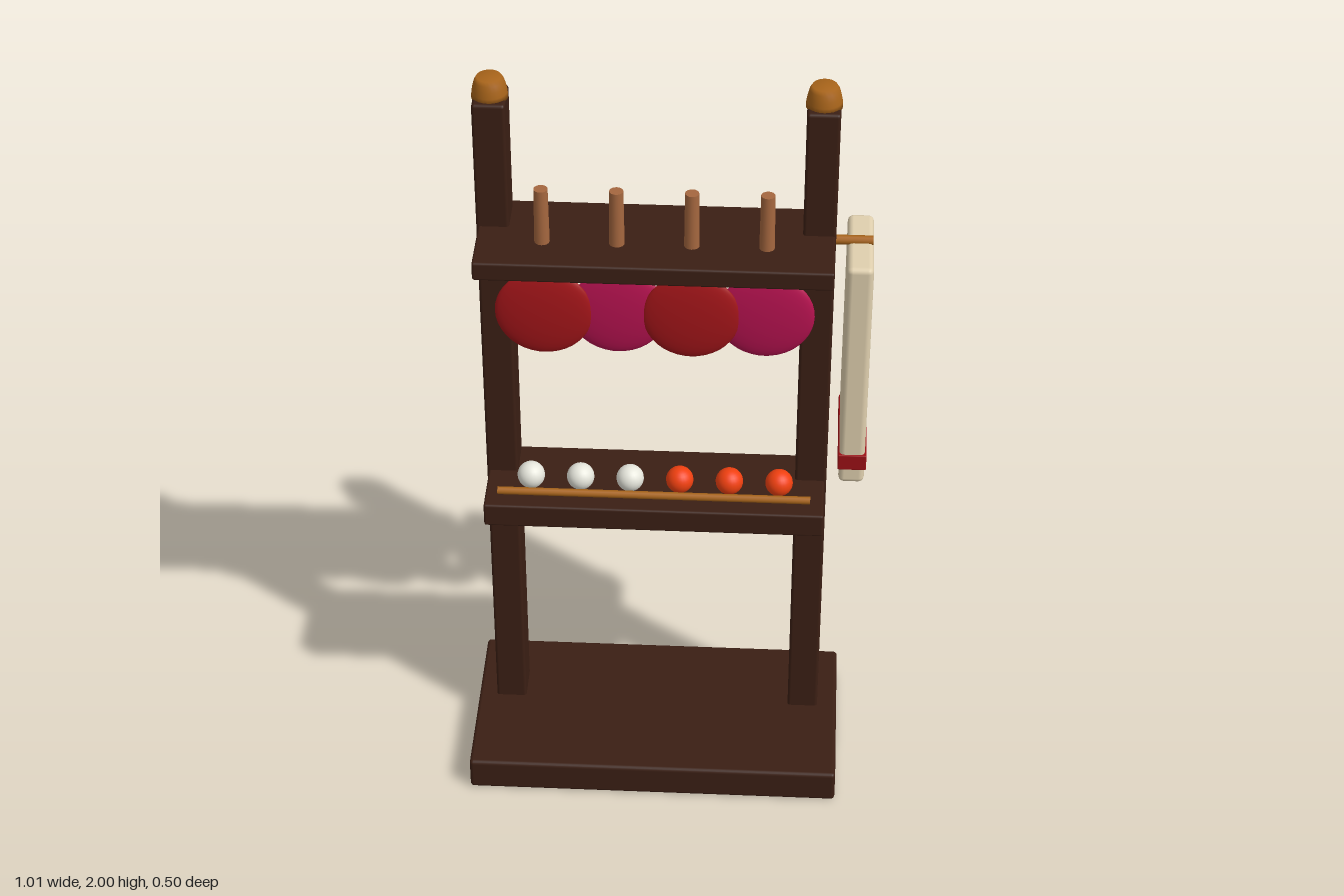
import * as THREE from 'three';
import { RoundedBoxGeometry } from 'three/addons/geometries/RoundedBoxGeometry.js';

const mat = (color) => new THREE.MeshStandardMaterial({ color });
const wood = mat(0x3b1f14), brass = mat(0xa8641a), handleWood = mat(0xa5673f);
const red = mat(0xa31519), crimson = mat(0xb5124f);
const cloth = mat(0xdfcfae), trim = mat(0x9b1015);
const white = mat(0xe6e6dc), orange = mat(0xf04010);

export function createModel() {
  const model = new THREE.Group();

  const add = (name, geometry, material, x, y, z) => {
    const mesh = new THREE.Mesh(geometry, material);
    mesh.name = name;
    mesh.position.set(x, y, z);
    model.add(mesh);
    return mesh;
  };
  // Softened box given by its extents on each axis
  const block = (name, material, [x0, x1], [y0, y1], [z0, z1], radius) =>
    add(name, new RoundedBoxGeometry(x1 - x0, y1 - y0, z1 - z0, 2, radius), material,
      (x0 + x1) / 2, (y0 + y1) / 2, (z0 + z1) / 2);
  // Horizontal rod along x
  const rod = (name, x0, x1, y, z, r) => {
    add(name, new THREE.CylinderGeometry(r, r, x1 - x0, 12), brass, (x0 + x1) / 2, y, z)
      .rotation.z = Math.PI / 2;
  };

  // Base and the two shelves
  block('base', wood, [-0.508, 0.462], [0, 0.09], [-0.25, 0.25], 0.01);
  block('lowerShelf', wood, [-0.455, 0.405], [0.8, 0.865], [-0.127, 0.127], 0.006);
  block('upperShelf', wood, [-0.455, 0.408], [1.563, 1.612], [-0.142, 0.142], 0.006);

  // Posts with domed finials
  const capProfile = [[0, 1.945], [0.044, 1.945], [0.043, 1.96], [0.04, 1.975],
    [0.036, 1.99], [0.03, 2], [0, 2]].map(([r, y]) => new THREE.Vector2(r, y));
  for (const x of [-0.42, 0.37]) {
    block('post', wood, [x - 0.04, x + 0.04], [0.08, 1.95], [-0.126, -0.02], 0.008);
    add('finial', new THREE.LatheGeometry(capProfile, 24), brass, x, 0, -0.073);
  }

  // Hanging paddles: thin lens blades below the shelf, handles above it
  const blade = new THREE.SphereGeometry(0.12, 32, 20).scale(1, 1, 0.17);
  const handle = new THREE.CylinderGeometry(0.017, 0.019, 0.17, 16);
  for (let i = 0; i < 4; i++) {
    const x = -0.295 + i * 0.18;
    add('paddleBlade', blade, i % 2 ? crimson : red, x, 1.41, i % 2 ? 0.03 : 0.042);
    add('paddleHandle', handle, handleWood, x, 1.675, 0.036);
  }

  // Row of balls held by a retaining rail
  const ball = new THREE.SphereGeometry(0.035, 24, 16);
  for (let i = 0; i < 6; i++) {
    add('ball', ball, i < 3 ? white : orange, -0.34 + i * 0.126, 0.9, 0.037);
  }
  rod('ballRail', -0.42, 0.37, 0.895, 0.1, 0.01);

  // Towel on its peg at the side
  rod('towelPeg', 0.38, 0.5, 1.592, -0.039, 0.012);
  block('towel', cloth, [0.438, 0.502], [0.945, 1.59], [-0.162, 0.088], 0.014);
  block('towelStripe', trim, [0.435, 0.506], [0.99, 1.035], [-0.165, 0.092], 0.003);

  return model;
}
